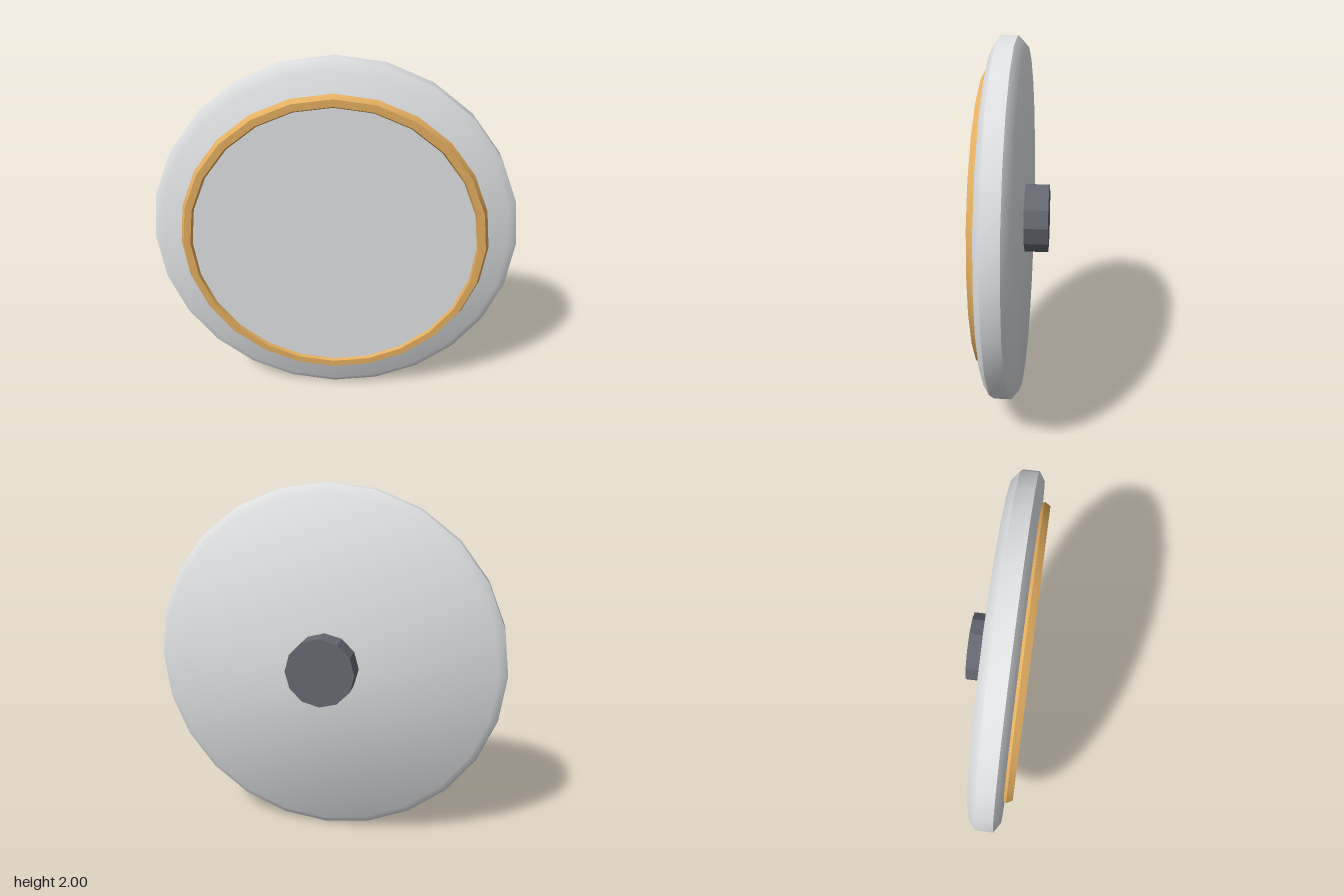
import * as THREE from 'three';
import { toCreasedNormals } from 'three/addons/utils/BufferGeometryUtils.js';

export function createModel() {
  const silver = new THREE.MeshStandardMaterial({ color: 0xe0e2e4 });
  silver.name = 'silver';
  const gold = new THREE.MeshStandardMaterial({ color: 0xe3ae60 });
  gold.name = 'gold';
  const darkGrey = new THREE.MeshStandardMaterial({ color: 0x656870 });
  darkGrey.name = 'dark grey';

  const model = new THREE.Group();
  model.name = 'roundPlaque';

  const add = (name, geometry, material, z) => {
    const mesh = new THREE.Mesh(geometry, material);
    mesh.name = name;
    mesh.position.set(0, 1, z);
    model.add(mesh);
  };

  // Bevelled body: soft between cap and bevel, sharp at the rim
  const profile = [
    [0, -0.043], [0.95, -0.043], [1, 0], [1, 0.092], [0.95, 0.125], [0, 0.125],
  ].map(([r, z]) => new THREE.Vector2(r, z));
  const body = new THREE.LatheGeometry(profile, 24).rotateX(Math.PI / 2);
  add('body', toCreasedNormals(body, 0.75), silver, 0);

  // Raised flat face filling the trim ring almost to its front
  const face = new THREE.CylinderGeometry(0.782, 0.782, 0.04, 24).rotateX(Math.PI / 2);
  add('facePlate', toCreasedNormals(face, 0.6), silver, 0.137);

  // Six-sided trim ring
  const ring = new THREE.TorusGeometry(0.805, 0.038, 6, 24);
  add('trimRing', toCreasedNormals(ring, 0.6), gold, 0.1395);

  // Twelve-sided mounting post on the back
  const post = new THREE.CylinderGeometry(0.195, 0.195, 0.135, 12).rotateX(Math.PI / 2);
  add('mountingPost', toCreasedNormals(post, 0.3), darkGrey, -0.1075);

  return model;
}
